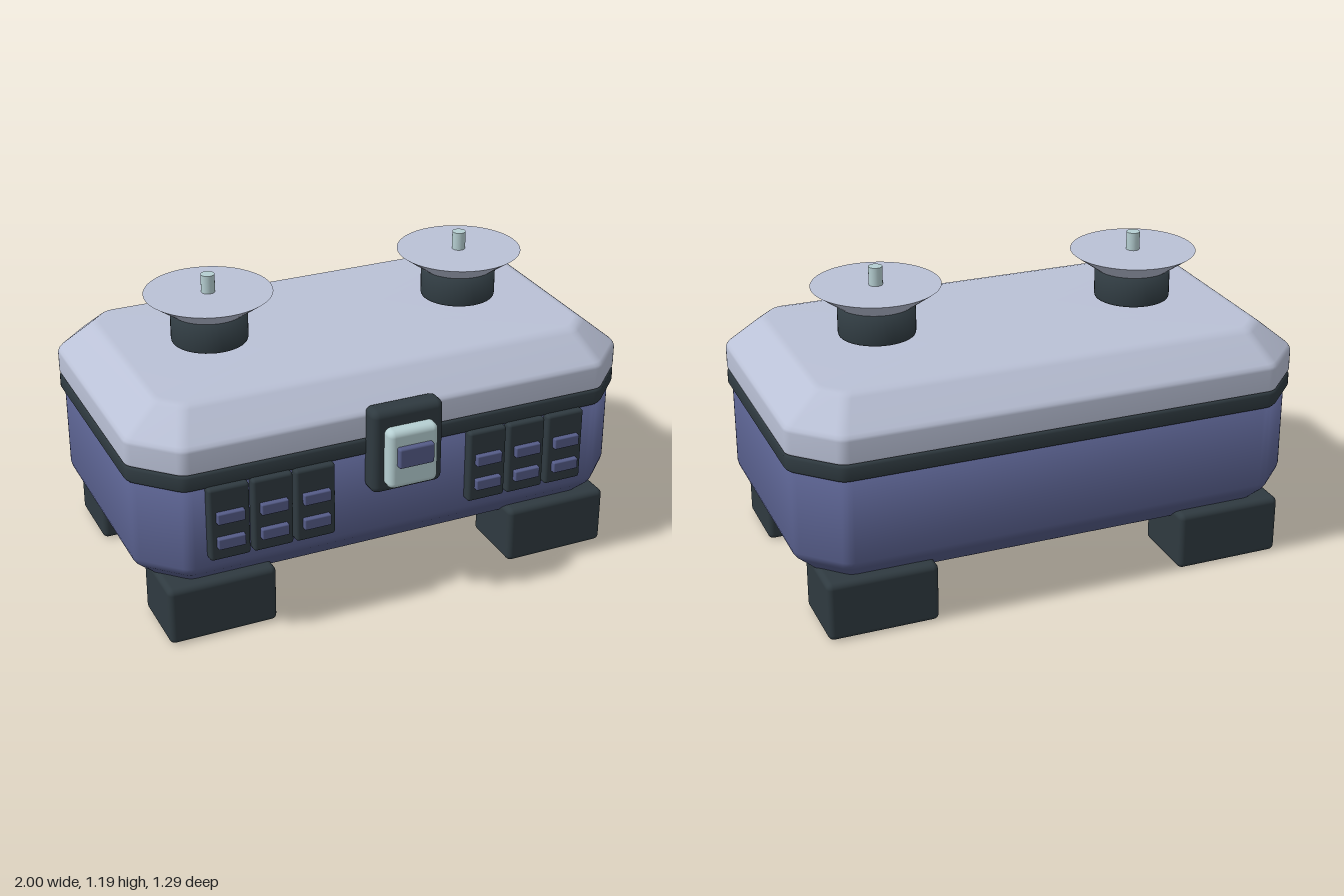
import * as THREE from 'three';
import { RoundedBoxGeometry } from 'three/addons/geometries/RoundedBoxGeometry.js';

const material = (name, color) => {
  const m = new THREE.MeshStandardMaterial({ color });
  m.name = name;
  return m;
};

// Octagonal outline with softened corners, as [x, z] points
function outline(halfX, halfZ, cut, soft) {
  const ix = halfX - cut, iz = halfZ - cut;
  const corners = [
    [halfX, -iz], [halfX, iz], [ix, halfZ], [-ix, halfZ],
    [-halfX, iz], [-halfX, -iz], [-ix, -halfZ], [ix, -halfZ],
  ].map(([x, z]) => new THREE.Vector2(x, z));
  const points = [];
  corners.forEach((p, i) => {
    const towards = (q) => q.clone().sub(p).setLength(soft).add(p);
    const a = towards(corners[(i + 7) % 8]);
    const b = towards(corners[(i + 1) % 8]);
    const curve = new THREE.QuadraticBezierCurve(a, p, b);
    points.push(...curve.getPoints(3));
  });
  return points;
}

// Closed shell through octagonal rings, listed upwards as [y, inset]
function shell(halfX, halfZ, cut, rings) {
  const positions = [], index = [];
  let n = 0;
  for (const [y, inset] of rings) {
    const ring = outline(halfX - inset, halfZ - inset, cut - inset * 0.586, 0.025);
    n = ring.length;
    for (const p of ring) positions.push(p.x, y, p.y);
  }
  const last = (rings.length - 1) * n;
  const bottom = last + n, top = bottom + 1;
  positions.push(0, rings[0][0], 0, 0, rings[rings.length - 1][0], 0);
  for (let j = 0; j < n; j++) {
    const k = (j + 1) % n;
    for (let i = 0; i < last; i += n) {
      index.push(i + j, i + n + j, i + k, i + k, i + n + j, i + n + k);
    }
    index.push(bottom, j, k, top, last + k, last + j);
  }
  const g = new THREE.BufferGeometry();
  g.setAttribute('position', new THREE.Float32BufferAttribute(positions, 3));
  g.setIndex(index);
  g.computeVertexNormals();
  return g;
}

export function createModel() {
  const model = new THREE.Group();
  model.name = 'caseWithDials';
  const purple = material('dusky purple', 0x555c88);
  const pale = material('pale blue grey', 0xbac1d6);
  const dark = material('charcoal', 0x2f3a40);
  const mint = material('pale mint', 0xb6cfd2);

  const add = (name, geometry, mat, x = 0, y = 0, z = 0, parent = model) => {
    const mesh = new THREE.Mesh(geometry, mat);
    mesh.name = name;
    mesh.position.set(x, y, z);
    parent.add(mesh);
    return mesh;
  };
  const box = (name, size, radius, mat, x, y, z, parent) =>
    add(name, new RoundedBoxGeometry(...size, 3, radius), mat, x, y, z, parent);

  // Case body, seal band and lid share a centre slightly behind the origin
  const caseZ = -0.067;
  add('body', shell(0.985, 0.565, 0.155, [
    [0.18, 0.135], [0.184, 0.118], [0.195, 0.1], [0.28, 0.014],
    [0.295, 0.004], [0.312, 0], [0.645, 0],
  ]), purple, 0, 0, caseZ);
  add('sealBand', shell(1, 0.578, 0.16, [
    [0.634, 0.02], [0.637, 0.007], [0.646, 0], [0.69, 0], [0.699, 0.007], [0.702, 0.02],
  ]), dark, 0, 0, caseZ);
  add('lid', shell(1, 0.578, 0.16, [
    [0.7, 0.012], [0.705, 0.002], [0.712, 0], [0.79, 0], [0.8, 0.003],
    [0.812, 0.012], [0.898, 0.115], [0.909, 0.13], [0.915, 0.155],
  ]), pale, 0, 0, caseZ);

  // Four block feet
  for (const x of [-0.697, 0.697]) {
    for (const z of [0.342, -0.473]) {
      box('foot', [0.42, 0.23, 0.285], 0.022, dark, x, 0.12, z);
    }
  }
  // Feet rest on the ground plane
  model.children.filter((c) => c.name === 'foot').forEach((f) => { f.position.y = 0.115; });

  // Two dials: drum, flared dish and centre pin
  const drum = new THREE.LatheGeometry([
    [0, 0.93], [0.136, 0.93], [0.143, 0.933], [0.145, 0.94], [0.145, 1.052], [0, 1.052],
  ].map(([r, y]) => new THREE.Vector2(r, y)), 40);
  const dish = new THREE.CylinderGeometry(0.241, 0.145, 0.069, 48);
  const pin = new THREE.CylinderGeometry(0.026, 0.026, 0.075, 20);
  for (const x of [-0.52, 0.52]) {
    const dial = new THREE.Group();
    dial.name = 'dial';
    dial.position.set(x, 0, caseZ);
    model.add(dial);
    add('drum', drum, dark, 0, 0, 0, dial);
    add('dish', dish, pale, 0, 1.0855, 0, dial);
    add('pin', pin, mint, 0, 1.1525, 0, dial);
  }

  // Front latch: backing, plate and button
  const latch = new THREE.Group();
  latch.name = 'latch';
  model.add(latch);
  box('latchBacking', [0.285, 0.335, 0.09], 0.028, dark, 0, 0.663, 0.528, latch);
  box('latchPlate', [0.198, 0.235, 0.08], 0.024, mint, 0, 0.648, 0.582, latch);
  box('latchButton', [0.14, 0.08, 0.04], 0.008, purple, 0, 0.665, 0.625, latch);

  // Six switch panels, each with two keys
  for (const side of [-1, 1]) {
    for (const offset of [0.35, 0.515, 0.682]) {
      const panel = new THREE.Group();
      panel.name = 'switchPanel';
      panel.position.x = side * offset;
      model.add(panel);
      box('panelPlate', [0.155, 0.293, 0.05], 0.012, dark, 0, 0.496, 0.509, panel);
      for (const y of [0.425, 0.527]) {
        box('key', [0.105, 0.044, 0.03], 0.005, purple, 0, y, 0.54, panel);
      }
    }
  }
  return model;
}
